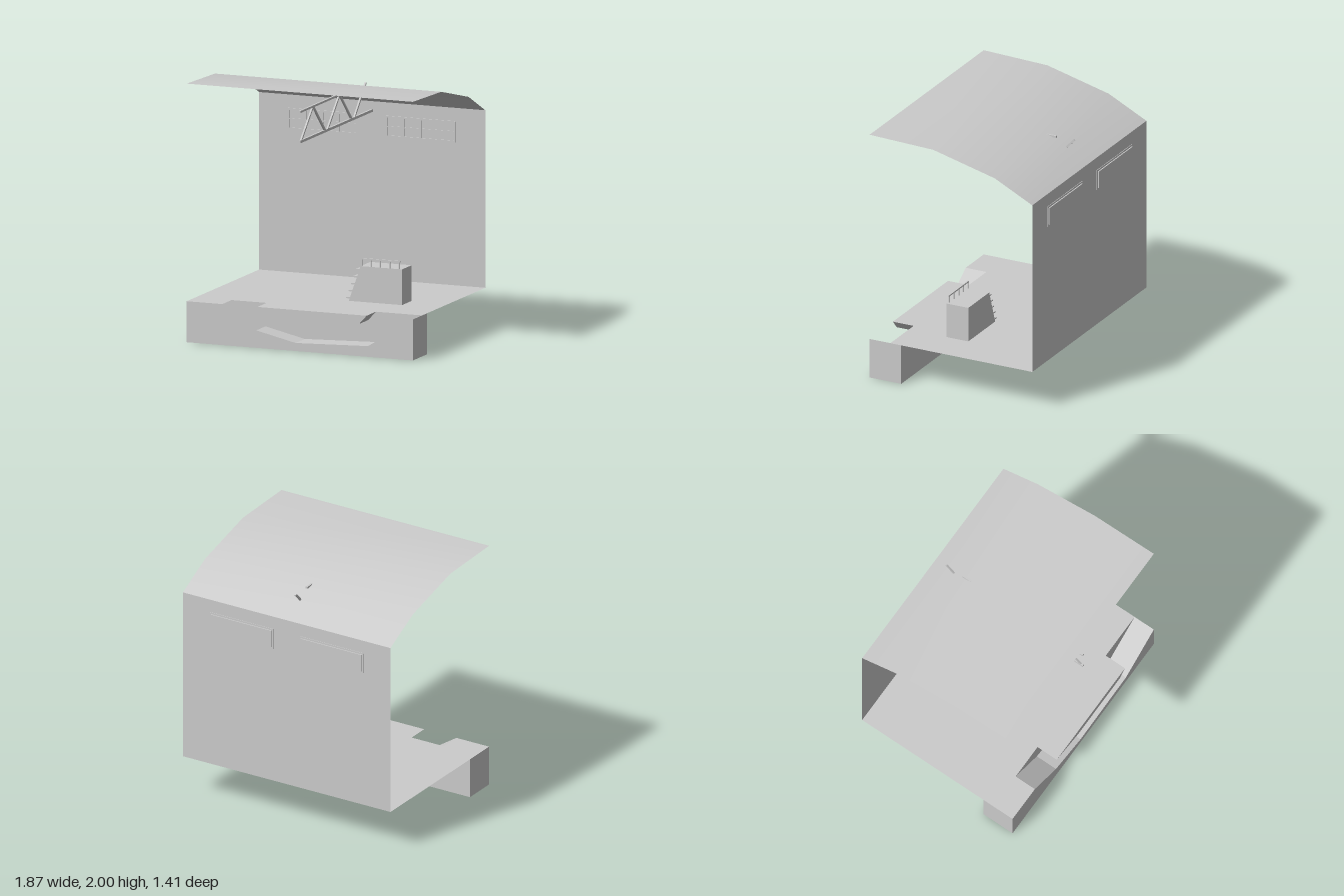
import * as THREE from 'three';

const material = new THREE.MeshStandardMaterial({ color: 0xcccccc });
const sheetMaterial = new THREE.MeshStandardMaterial({ color: 0xcccccc, side: THREE.DoubleSide });

const HALF = 0.935;    // half width of the hall
const FLOOR = 0.317;   // floor height
const BACK = -0.692;   // back wall
const FRONT = 0.703;   // front edge

function add(parent, name, geometry, mat = material) {
  const mesh = new THREE.Mesh(geometry, mat);
  mesh.name = name;
  parent.add(mesh);
  return mesh;
}

// Box given by its limits on each axis
function box(parent, name, x0, x1, y0, y1, z0, z1) {
  const mesh = add(parent, name, new THREE.BoxGeometry(x1 - x0, y1 - y0, z1 - z0));
  mesh.position.set((x0 + x1) / 2, (y0 + y1) / 2, (z0 + z1) / 2);
  return mesh;
}

// Outline in x and y, extruded from z0 to z1
function slab(parent, name, points, z0, z1) {
  const shape = new THREE.Shape(points.map(([x, y]) => new THREE.Vector2(x, y)));
  const geometry = new THREE.ExtrudeGeometry(shape, { depth: z1 - z0, bevelEnabled: false });
  geometry.translate(0, 0, z0);
  return add(parent, name, geometry);
}

// Thin sheet across the full width following a profile of [z, y]
function sheet(parent, name, profile) {
  const geometry = new THREE.PlaneGeometry(2 * HALF, 1, 1, profile.length - 1);
  const position = geometry.attributes.position;
  for (let i = 0; i < position.count; i++) {
    const [z, y] = profile[Math.floor(i / 2)];
    position.setY(i, y);
    position.setZ(i, z);
  }
  geometry.computeVertexNormals();
  return add(parent, name, geometry, sheetMaterial);
}

// Front block with a sunken channel curving around a raised island
function buildPlatform() {
  const group = new THREE.Group();
  group.name = 'platform';
  const ledge = 0.525;
  box(group, 'platformBack', -HALF, HALF, 0, FLOOR, 0.432, ledge);
  slab(group, 'channelBed', [
    [-HALF, 0], [HALF, 0], [HALF, FLOOR], [0.565, 0.083], [-0.035, 0.062],
    [-0.36, 0.135], [-0.64, FLOOR], [-HALF, FLOOR],
  ], ledge, FRONT);
  slab(group, 'island', [
    [-0.35, FLOOR], [-0.06, 0.248], [0.49, 0.248], [0.553, FLOOR],
  ], ledge, FRONT);
  return group;
}

// Sloped block with steps up its side and a railing on top
function buildTower() {
  const group = new THREE.Group();
  group.name = 'tower';
  const top = 0.593, z0 = 0.016, z1 = 0.202;
  slab(group, 'towerBody', [[0.19, FLOOR], [0.63, FLOOR], [0.63, top], [0.288, top]], z0, z1);
  for (let i = 0; i < 5; i++) {
    const y = 0.341 + i * 0.0555;
    const x = 0.19 + (y - FLOOR) * 0.355;
    box(group, 'step', x - 0.03, x + 0.006, y - 0.005, y + 0.005, z0, z1);
  }
  for (let i = 0; i < 5; i++) {
    const x = 0.293 + i * 0.0775;
    box(group, 'railingPost', x - 0.004, x + 0.004, top, 0.645, 0.191, 0.199);
  }
  box(group, 'railingTop', 0.288, 0.615, 0.644, 0.655, 0.19, 0.2);
  return group;
}

// Roof truss: two chords joined by zigzag braces
function buildTruss() {
  const group = new THREE.Group();
  group.name = 'truss';
  const r = 0.008, low = 1.62, high = 1.852;
  box(group, 'bottomChord', -r, r, 1.61, 1.63, BACK, FRONT);
  box(group, 'topChord', -r, r, 1.844, 1.86, -0.41, FRONT);
  const braces = [
    [0.685, low, 0.45, high], [0.45, high, 0.215, low], [0.175, low, -0.06, high],
    [-0.06, high, -0.295, low], [-0.34, low, -0.565, high + 0.004],
  ];
  for (const [za, ya, zb, yb] of braces) {
    const length = Math.hypot(zb - za, yb - ya);
    const brace = add(group, 'brace', new THREE.BoxGeometry(0.013, 0.015, length));
    brace.position.set(0, (ya + yb) / 2, (za + zb) / 2);
    brace.rotation.x = -Math.atan2(yb - ya, zb - za);
  }
  return group;
}

// Window with a frame, glazing bars and a pane standing out behind the wall
function buildWindow(centre) {
  const group = new THREE.Group();
  group.name = 'window';
  const w = 0.288, low = 1.422, high = 1.587, t = 0.014, z0 = -0.696, z1 = -0.684;
  box(group, 'frameBottom', -w, w, low, low + t, z0, z1);
  box(group, 'frameTop', -w, w, high - t, high, z0, z1);
  for (const s of [-1, 1]) {
    const x = s * (w - t / 2);
    box(group, 'frameSide', x - t / 2, x + t / 2, low + t, high - t, z0, z1);
  }
  for (const i of [-1, 0, 1]) {
    const x = i * 0.137;
    box(group, 'glazingBar', x - 0.004, x + 0.004, low + t, high - t, z0, z1 - 0.001);
  }
  box(group, 'crossBar', -w + t, w - t, 1.5, 1.509, z0, z1 - 0.002);
  box(group, 'pane', -w + t, w - t, low + t, high - t, -0.705, z0);
  group.position.x = centre;
  return group;
}

export function createModel() {
  const model = new THREE.Group();
  model.name = 'hall';

  // Shell: floor, back wall and curved roof
  sheet(model, 'floor', [[BACK, FLOOR], [0.432, FLOOR]]);
  sheet(model, 'backWall', [[BACK, 1.69], [BACK, FLOOR]]);
  sheet(model, 'roof', [[BACK, 1.69], [-0.37, 1.85], [0.157, 1.982], [FRONT, 2]]);

  model.add(buildPlatform(), buildTower(), buildTruss());
  for (const x of [-0.408, 0.404]) model.add(buildWindow(x));
  return model;
}
